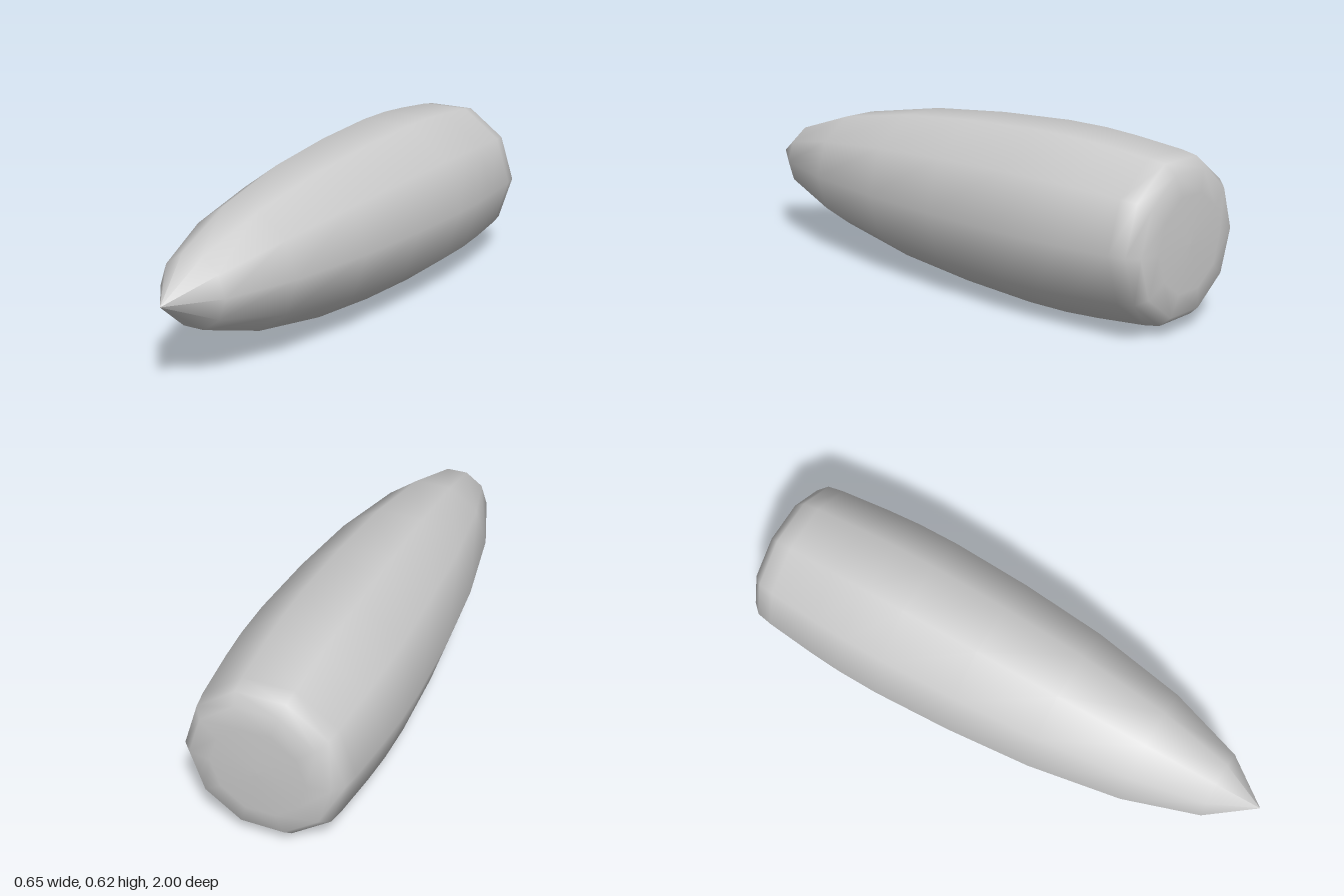
import * as THREE from 'three';

export function createModel() {
  const group = new THREE.Group();
  group.name = 'bullet';

  // Profile from the rear cap to the pointed tip: [radius, z]
  const profile = [
    [0, -1], [0.17, -0.998], [0.25, -0.986], [0.284, -0.95], [0.295, -0.89],
    [0.314, -0.7], [0.323, -0.57], [0.325, -0.41], [0.312, -0.11], [0.283, 0.21],
    [0.222, 0.555], [0.13, 0.83], [0, 1],
  ].map(([r, z]) => new THREE.Vector2(r, z));

  // Ten-sided smooth body, corners on the left and right, turned to point forward
  const geometry = new THREE.LatheGeometry(profile, 10, Math.PI / 2);
  geometry.rotateX(Math.PI / 2);

  const body = new THREE.Mesh(geometry, new THREE.MeshStandardMaterial({ color: 0xcccccc }));
  body.name = 'body';
  body.position.y = 0.325 * Math.sin(THREE.MathUtils.degToRad(72));
  group.add(body);

  return group;
}
